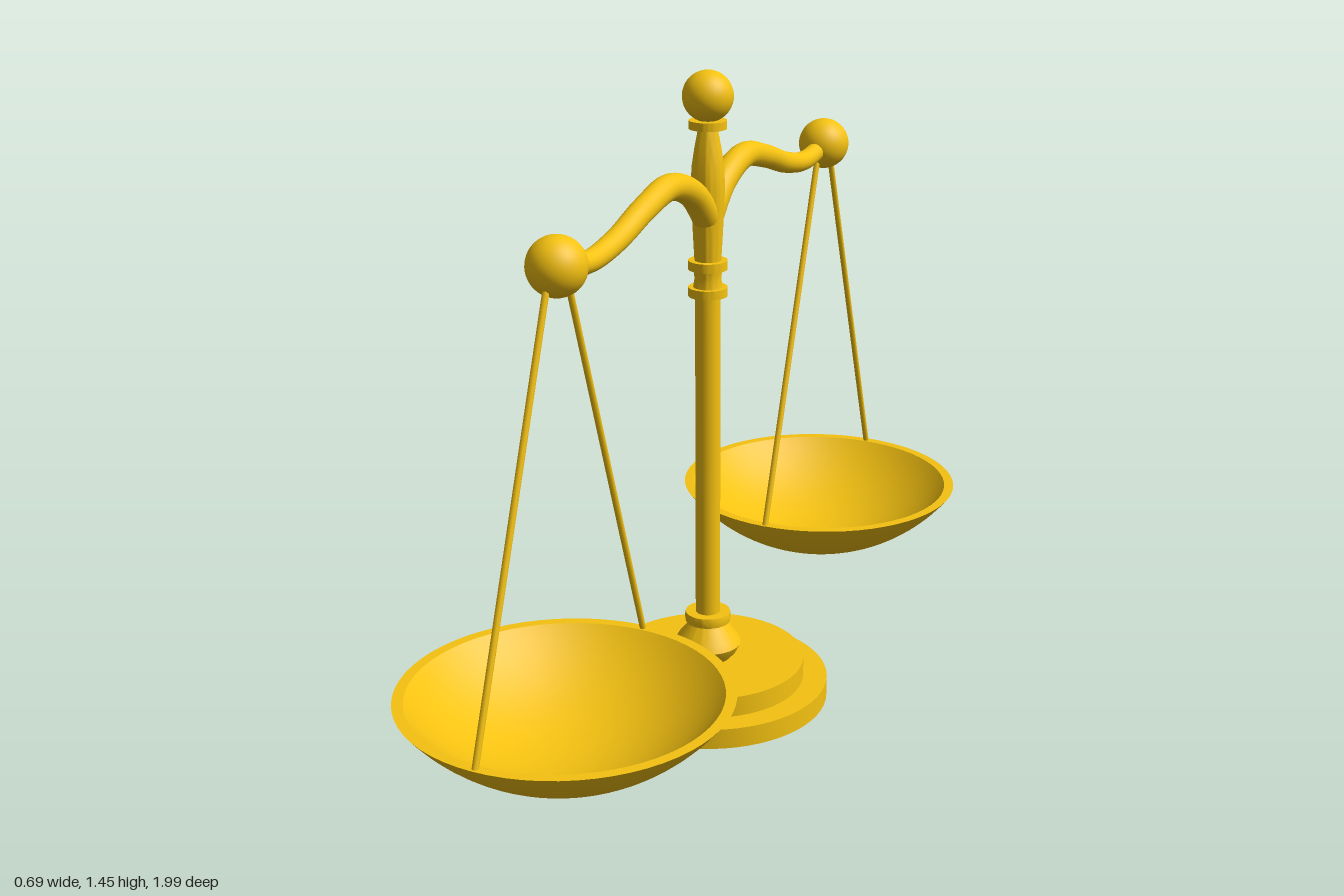
import * as THREE from 'three';
import { toCreasedNormals } from 'three/addons/utils/BufferGeometryUtils.js';

const gold = new THREE.MeshStandardMaterial({ color: 0xf5c211 });

function part(name, geometry, parent, x = 0, y = 0, z = 0) {
  const mesh = new THREE.Mesh(geometry, gold);
  mesh.name = name;
  mesh.position.set(x, y, z);
  parent.add(mesh);
  return mesh;
}

// Turned part from [radius, height] pairs, listed bottom to top
function turned(pairs, segments = 48) {
  const points = pairs.map(([r, y]) => new THREE.Vector2(r, y));
  return toCreasedNormals(new THREE.LatheGeometry(points, segments), 0.45);
}

// Tube whose radius goes from r0 to r1 along its curve
function taperedTube(curve, r0, r1, steps = 48, sides = 20) {
  const geo = new THREE.TubeGeometry(curve, steps, 1, sides);
  const pos = geo.attributes.position;
  const v = new THREE.Vector3();
  for (let i = 0; i < pos.count; i++) {
    const t = Math.floor(i / (sides + 1)) / steps;
    const centre = curve.getPointAt(t);
    v.fromBufferAttribute(pos, i).sub(centre);
    v.multiplyScalar(THREE.MathUtils.lerp(r0, r1, t)).add(centre);
    pos.setXYZ(i, v.x, v.y, v.z);
  }
  return geo;
}

// Shallow bowl: outer arc up to the rim, inner arc back down
function panGeometry() {
  const rim = 0.3, n = 20, pairs = [];
  const arc = (radius, depth) => {
    const R = (radius * radius + depth * depth) / (2 * depth);
    const end = Math.asin(radius / R);
    return Array.from({ length: n + 1 }, (_, i) => {
      const a = (end * i) / n;
      return [R * Math.sin(a), rim - depth + R * (1 - Math.cos(a))];
    });
  };
  pairs.push(...arc(0.345, 0.17), ...arc(0.322, 0.15).reverse());
  return turned(pairs, 64);
}

// Straight rod between two points in the x = 0 plane
function rod(name, y0, z0, y1, z1, parent) {
  const a = new THREE.Vector3(0, y0, z0), b = new THREE.Vector3(0, y1, z1);
  const dir = b.clone().sub(a);
  const mesh = part(name, new THREE.CylinderGeometry(0.007, 0.007, dir.length(), 10), parent);
  mesh.position.copy(a).add(b).multiplyScalar(0.5);
  mesh.quaternion.setFromUnitVectors(new THREE.Vector3(0, 1, 0), dir.normalize());
}

function createSide(name) {
  const side = new THREE.Group();
  side.name = name;

  // Curved half of the beam
  const path = new THREE.CatmullRomCurve3([
    [1.13, 0], [1.2, 0.075], [1.236, 0.18], [1.215, 0.29],
    [1.177, 0.41], [1.16, 0.52], [1.175, 0.63],
  ].map(([y, z]) => new THREE.Vector3(0, y, z)));
  part('beamArm', taperedTube(path, 0.032, 0.021), side);
  part('beamEndBall', new THREE.SphereGeometry(0.06, 32, 24), side, 0, 1.18, 0.642);

  // Hanging pan with its two rods
  part('pan', panGeometry(), side, 0, 0, 0.652);
  rod('outerRod', 1.15, 0.68, 0.297, 0.986, side);
  rod('innerRod', 1.15, 0.605, 0.297, 0.318, side);
  return side;
}

export function createModel() {
  const model = new THREE.Group();
  model.name = 'balanceScale';

  // Stepped round foot
  part('base', turned([
    [0, 0], [0.277, 0], [0.277, 0.047], [0.222, 0.047], [0.222, 0.094], [0, 0.094],
  ], 64), model);

  // Bulbous foot of the column with its collar
  part('columnFoot', turned([
    [0.05, 0.09], [0.066, 0.108], [0.077, 0.13], [0.068, 0.146], [0.047, 0.172],
    [0.04, 0.183], [0.051, 0.183], [0.053, 0.195], [0.051, 0.206], [0.028, 0.206],
  ]), model);

  part('column', new THREE.CylinderGeometry(0.028, 0.028, 0.78, 32, 1, true), model, 0, 0.585, 0);

  // Double ring below the beam
  part('columnRings', turned([
    [0.028, 0.96], [0.043, 0.96], [0.043, 0.98], [0.032, 0.98], [0.029, 1.0],
    [0.032, 1.02], [0.043, 1.02], [0.043, 1.04], [0.028, 1.04],
  ]), model);

  // Swelling head that carries the beam, topped by a ring and ball
  part('columnHead', turned([
    [0.029, 1.035], [0.032, 1.09], [0.035, 1.15], [0.037, 1.2], [0.035, 1.245],
    [0.029, 1.285], [0.021, 1.327], [0.041, 1.327], [0.041, 1.345], [0, 1.345],
  ]), model);
  part('finialBall', new THREE.SphereGeometry(0.055, 32, 24), model, 0, 1.396, 0);

  const front = createSide('frontSide');
  const back = createSide('backSide');
  back.rotation.y = Math.PI;
  model.add(front, back);
  return model;
}
